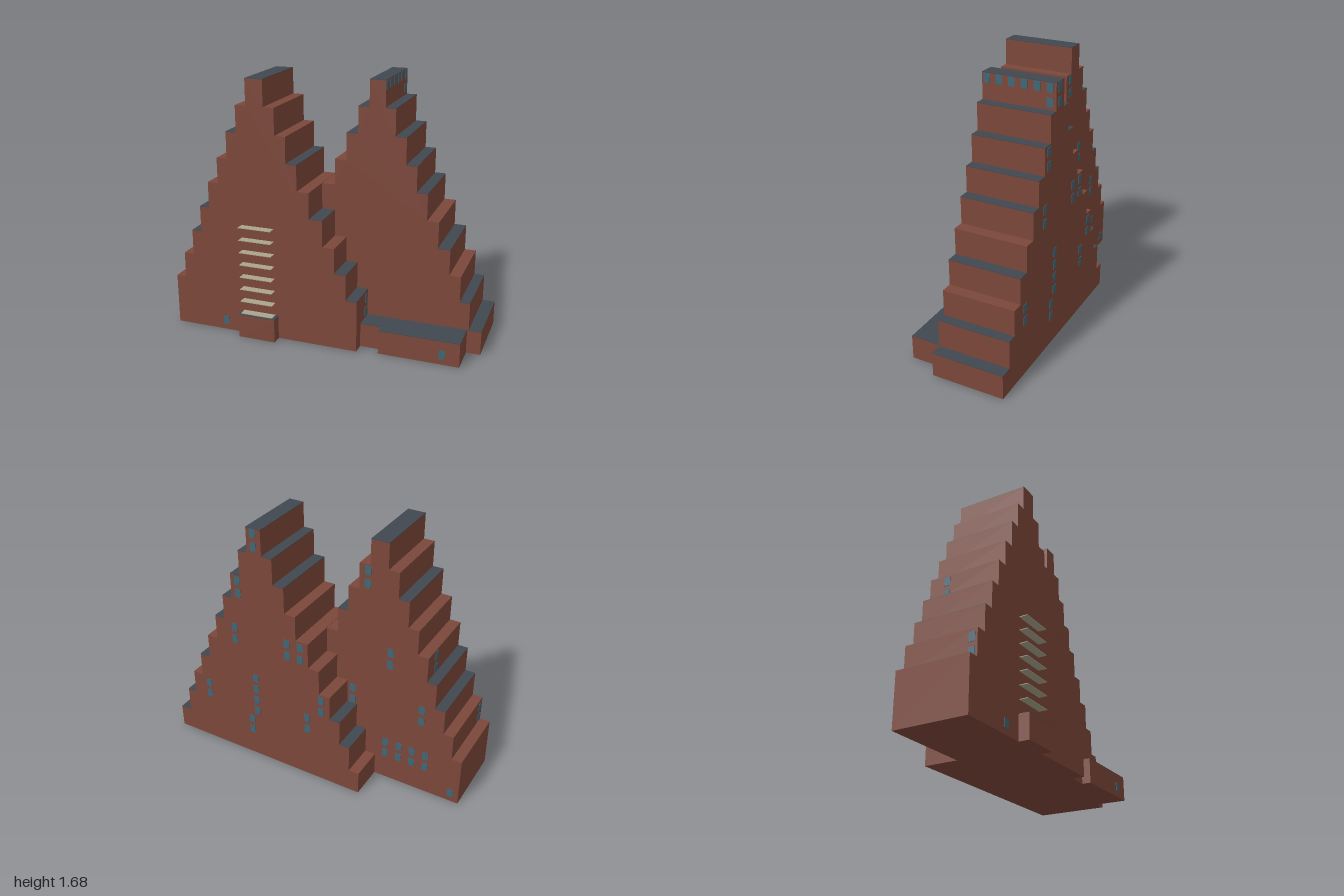
import * as THREE from 'three';

const mat = (name, color) => {
  const m = new THREE.MeshStandardMaterial({ color });
  m.name = name;
  return m;
};

export function createModel() {
  const brick = mat('brick', 0x7c473a);
  const slate = mat('slate', 0x41474f);
  const glass = mat('glass', 0x3f6676);
  const stone = mat('stone', 0xaaa48c);
  const model = new THREE.Group();
  model.name = 'steppedBuilding';

  // Box given by its minimum and maximum corners
  function box(name, material, [x0, x1], [y0, y1], [z0, z1], parent = model) {
    const mesh = new THREE.Mesh(new THREE.BoxGeometry(x1 - x0, y1 - y0, z1 - z0), material);
    mesh.position.set((x0 + x1) / 2, (y0 + y1) / 2, (z0 + z1) / 2);
    mesh.name = name;
    parent.add(mesh);
    return mesh;
  }

  const levels = [0.155, 0.335, 0.505, 0.67, 0.84, 1.01, 1.175, 1.345, 1.515, 1.68];

  // Stepped gable extruded in z; bit strings say which treads carry slate
  function tower(name, tops, left, right, z0, z1, leftSlate, rightSlate) {
    const group = new THREE.Group();
    group.name = name;
    const n = tops.length;
    const shape = new THREE.Shape();
    shape.moveTo(left[0], 0);
    shape.lineTo(right[0], 0);
    for (let i = 0; i < n; i++) {
      shape.lineTo(right[i], tops[i]);
      if (i < n - 1) shape.lineTo(right[i + 1], tops[i]);
    }
    for (let i = n - 1; i >= 0; i--) {
      shape.lineTo(left[i], tops[i]);
      if (i > 0) shape.lineTo(left[i], tops[i - 1]);
    }
    const geo = new THREE.ExtrudeGeometry(shape, { depth: z1 - z0, bevelEnabled: false });
    geo.translate(0, 0, z0);
    const walls = new THREE.Mesh(geo, brick);
    walls.name = 'steppedWalls';
    group.add(walls);
    // Slate on the ridge and treads
    const cover = (x0, x1, y) => box('roofSlate', slate, [x0, x1], [y, y + 0.003], [z0, z1], group);
    cover(left[n - 1], right[n - 1], tops[n - 1]);
    for (let i = 0; i < n - 1; i++) {
      if (leftSlate[i] === '1') cover(left[i], left[i + 1], tops[i]);
      if (rightSlate[i] === '1') cover(right[i + 1], right[i], tops[i]);
    }
    model.add(group);
  }

  tower('frontTower', levels.slice(1),
    [-1, -0.933, -0.866, -0.8, -0.735, -0.665, -0.595, -0.525, -0.455],
    [0.26, 0.188, 0.113, 0.035, -0.052, -0.13, -0.2, -0.27, -0.34],
    -0.155, 0.315, '00110010', '11010100');
  tower('backTower', levels,
    [-0.41, -0.34, -0.27, -0.2, -0.125, -0.05, 0.035, 0.11, 0.185, 0.255],
    [1, 0.92, 0.855, 0.782, 0.705, 0.63, 0.56, 0.49, 0.42, 0.355],
    -0.38, 0.09, '011000011', '110101111');

  // Low wing and entrance porch
  box('wing', brick, [0.395, 0.91], [0, 0.155], [0.09, 0.292]);
  box('wingRoof', slate, [0.395, 0.91], [0.155, 0.158], [0.09, 0.292]);
  box('wingLink', brick, [0.26, 0.395], [0, 0.155], [0.09, 0.236]);
  box('wingLinkRoof', slate, [0.26, 0.395], [0.155, 0.158], [0.09, 0.236]);
  box('porch', brick, [-0.52, -0.27], [0, 0.155], [0.315, 0.383]);
  box('porchRoof', slate, [-0.52, -0.27], [0.155, 0.157], [0.315, 0.383]);

  // Thin balcony slabs up the front
  for (let i = 0; i < 8; i++) {
    const y = 0.16 + i * 0.084;
    box('balconySlab', stone, [-0.51, -0.29], [y - 0.002, y + 0.002], [0.315, 0.368]);
  }

  // Windows sit on regular floors; zWindow faces front or back, xWindow faces sideways
  const floorY = (k) => 0.2 + k * 0.0853;
  const around = (c, h) => [c - h, c + h];
  const zWindow = (x, y, z) => box('window', glass, around(x, 0.02), around(y, 0.028), around(z, 0.003));
  const xWindow = (x, y, z) => box('window', glass, around(x, 0.003), around(y, 0.028), around(z, 0.02));

  // Back windows: [x, lowest floor, count]
  const backTowerWindows = [[0.31, 16, 2], [0.44, 12, 2], [0.485, 8, 2], [0.1, 8, 2], [0.005, 8, 2],
    [0.73, 2, 2], [0.345, 2, 4], [0.39, 0, 2], [-0.037, 2, 2], [-0.14, 4, 2]];
  const frontTowerWindows = [[-0.326, 14, 2], [-0.49, 8, 2], [-0.238, 4, 2], [-0.716, 4, 2],
    [-0.48, 0, 2], [-0.575, 0, 2], [-0.667, 0, 2], [-0.76, 0, 2]];
  for (const [list, z] of [[backTowerWindows, -0.38], [frontTowerWindows, -0.155]]) {
    for (const [x, k, count] of list) {
      for (let i = 0; i < count; i++) zWindow(x, floorY(k + i), z);
    }
  }
  zWindow(-0.944, 0.066, -0.155);
  zWindow(-0.645, 0.066, 0.315);
  zWindow(0.8, 0.066, 0.292);

  // Side windows
  for (let i = 0; i < 6; i++) xWindow(0.355, floorY(17), 0.06 - i * 0.08);
  xWindow(0.355, floorY(16), -0.34);
  for (let i = 0; i < 2; i++) {
    xWindow(0.26, floorY(i), 0.13);
    xWindow(-0.735, floorY(8 + i), -0.036);
    xWindow(-0.933, floorY(2 + i), 0.28);
  }
  return model;
}
